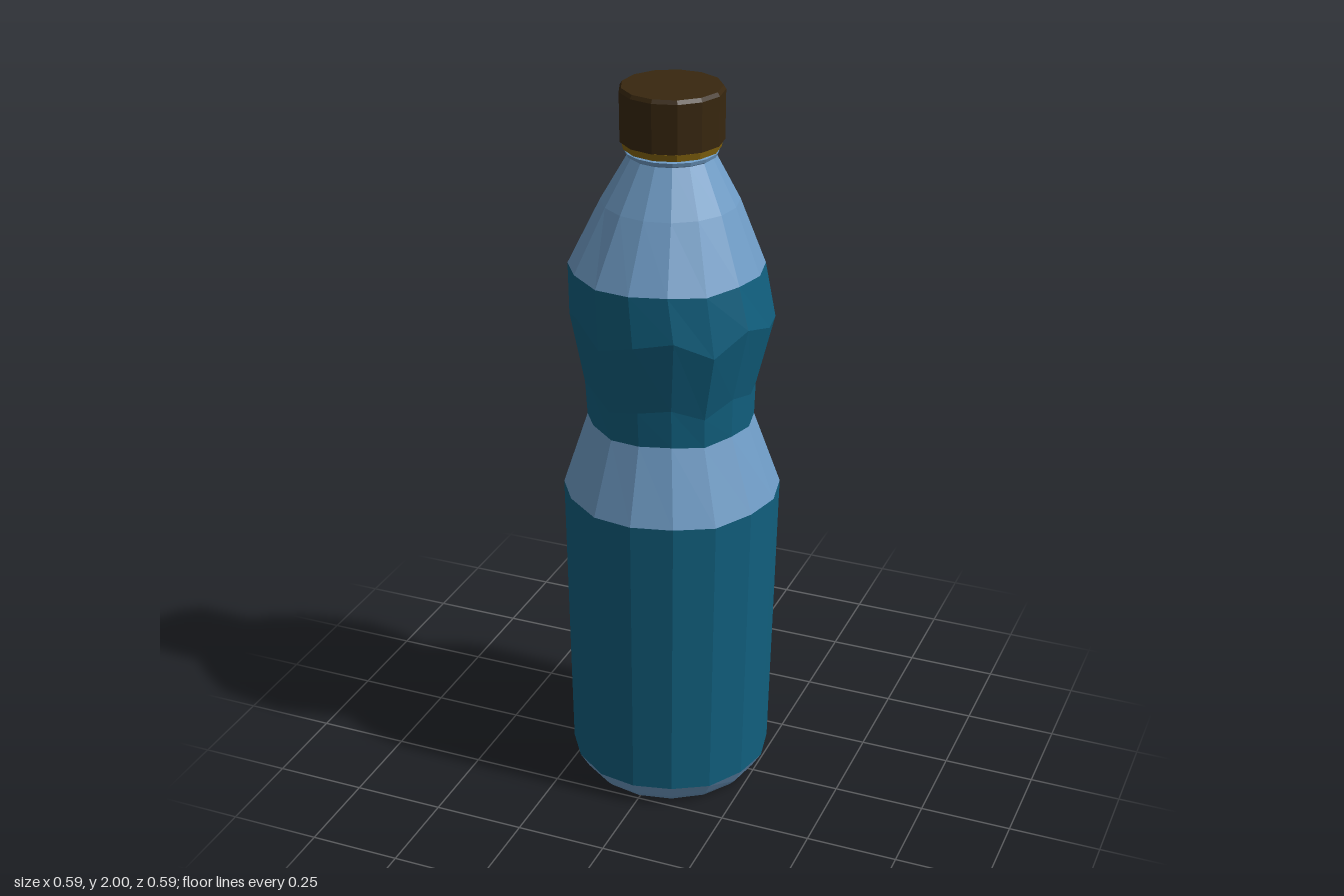
import * as THREE from 'three';

const colour = (name, hex) => {
  const m = new THREE.MeshStandardMaterial({ color: hex });
  m.name = name;
  return m;
};

// Faceted surface through rings given as [y, radius, offsetX, offsetZ, wobble]
function ringSurface(name, rings, sides, material) {
  const points = rings.map(([y, r]) => new THREE.Vector2(r, y));
  const lathe = new THREE.LatheGeometry(points, sides);
  const pos = lathe.attributes.position;
  for (let i = 0; i < pos.count; i++) {
    const [y, r, ox = 0, oz = 0, wobble = 0] = rings[i % rings.length];
    const side = Math.floor(i / rings.length) % sides;
    pos.setX(i, pos.getX(i) + ox);
    pos.setZ(i, pos.getZ(i) + oz);
    // hand-cut unevenness along the height
    pos.setY(i, y + wobble * Math.sin(side * 2.4));
  }
  const geometry = lathe.toNonIndexed();
  geometry.computeVertexNormals();
  const mesh = new THREE.Mesh(geometry, material);
  mesh.name = name;
  return mesh;
}

export function createModel() {
  const plastic = colour('pale blue plastic', 0x6f9cc6);
  const label = colour('teal label', 0x11607f);
  const capBrown = colour('dark brown cap', 0x38270f);
  const gold = colour('gold seal', 0x86660f);

  // Rings shared by neighbouring parts
  const baseRim = [0.063, 0.277, -0.004, 0, 0.003];
  const bodyTop = [0.888, 0.293, 0, -0.001, 0.004];
  const waist = [1.092, 0.223, -0.003, 0, 0.005];
  const shoulder = [1.528, 0.257, -0.01, 0.011, 0.004];

  const bottle = new THREE.Group();
  bottle.name = 'bottle';
  bottle.add(
    ringSurface('base', [[0.004, 0], [0.004, 0.236, -0.004], [0.022, 0.252, -0.004], baseRim], 16, plastic),
    ringSurface('lowerLabel', [baseRim, bodyTop], 16, label),
    ringSurface('waistBand', [bodyTop, waist], 16, plastic),
    ringSurface('upperLabel', [
      waist,
      [1.19, 0.227, -0.003, 0.003, 0.02],
      [1.39, 0.27, 0.003, 0.003, 0.03],
      shoulder,
    ], 16, label),
    ringSurface('shoulderCone', [shoulder, [1.7, 0.18, -0.003, 0.003], [1.822, 0.112]], 16, plastic),
    // Neck with its flange
    ringSurface('neck', [[1.815, 0.105], [1.824, 0.119], [1.834, 0.122], [1.838, 0.11], [1.845, 0.11]], 16, plastic),
    ringSurface('sealRing', [[1.84, 0.105], [1.84, 0.126], [1.858, 0.13], [1.862, 0.11]], 13, gold),
    // Screw cap with a slightly bevelled top
    ringSurface('cap', [[1.86, 0.1], [1.86, 0.135], [1.99, 0.136], [2.0, 0.13], [2.0, 0]], 13, capBrown),
  );
  return bottle;
}
